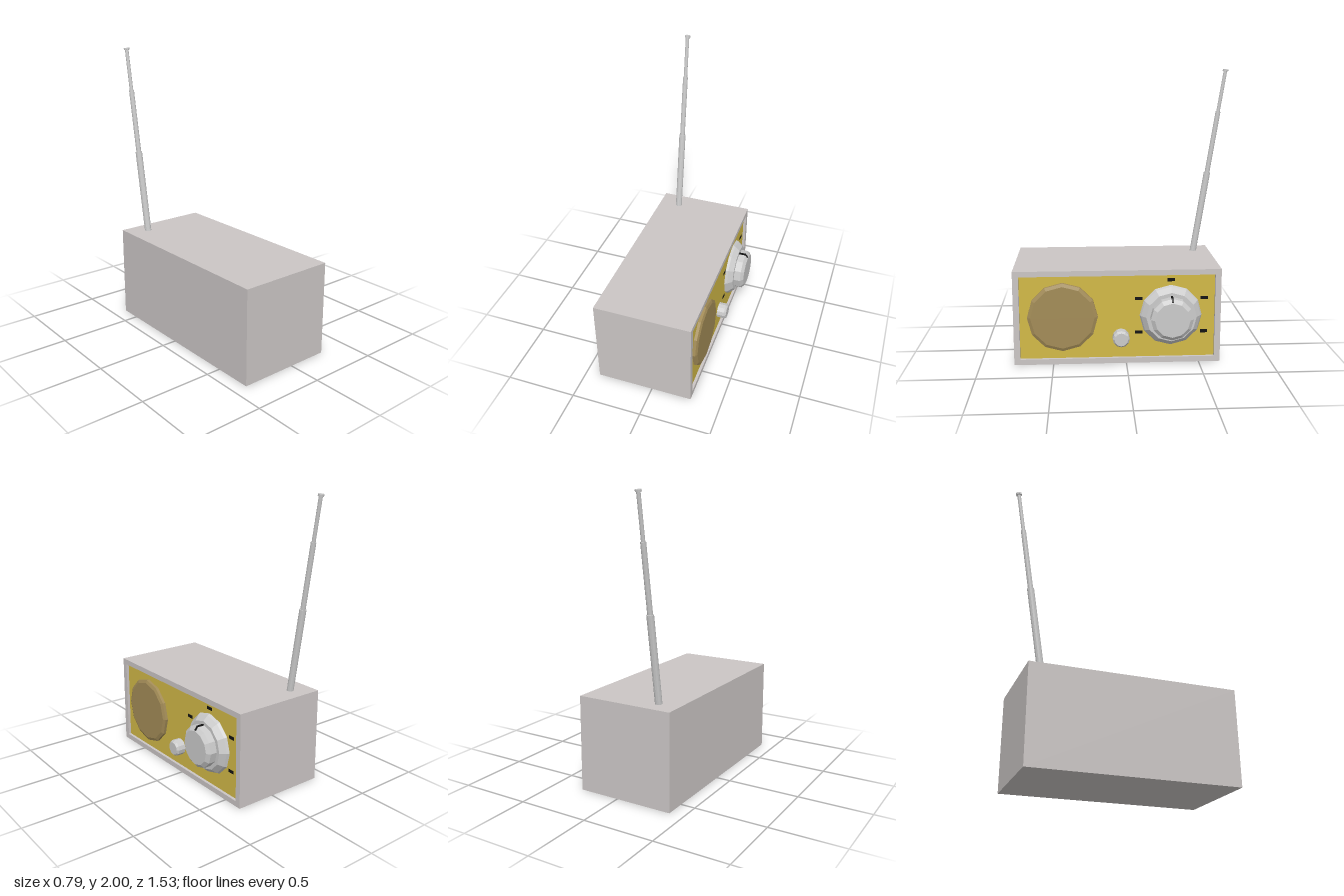
import * as THREE from 'three';

const mat = (color) => new THREE.MeshStandardMaterial({ color, flatShading: true });
const grey = mat(0xcccccc);
const shell = mat(0xcbc6c5);
const gold = mat(0xd2b947);
const tan = mat(0xa38c57);
const black = mat(0x111111);

const FACE = 0.265; // x of the recessed front panel
const MID_Z = 0.06; // centre of the case along z

export function createModel() {
  const radio = new THREE.Group();
  radio.name = 'radio';

  const add = (name, geometry, material, x = 0, y = 0, z = 0, parent = radio) => {
    const mesh = new THREE.Mesh(geometry, material);
    mesh.name = name;
    mesh.position.set(x, y, z);
    parent.add(mesh);
    return mesh;
  };

  // Twelve-sided turned part on the panel, pointing along +x; profile = [radius, height]
  const turned = (name, profile, material, y, z) => {
    const points = profile.map(([r, h]) => new THREE.Vector2(r, h));
    const geometry = new THREE.LatheGeometry(points, 12).rotateZ(-Math.PI / 2);
    return add(name, geometry, material, FACE, y, z);
  };

  // Rectangle outline centred on the origin
  const rectangle = (path, w, h) => {
    path.moveTo(-w / 2, -h / 2);
    path.lineTo(w / 2, -h / 2);
    path.lineTo(w / 2, h / 2);
    path.lineTo(-w / 2, h / 2);
    path.closePath();
    return path;
  };

  // Case: solid body plus a raised rim around the panel
  add('caseBody', new THREE.BoxGeometry(0.665, 0.66, 1.416), shell, FACE - 0.3325, 0.33, MID_Z);
  const rim = rectangle(new THREE.Shape(), 1.416, 0.66);
  rim.holes.push(rectangle(new THREE.Path(), 1.334, 0.584));
  const rimGeometry = new THREE.ExtrudeGeometry(rim, { depth: 0.022, bevelEnabled: false });
  add('caseRim', rimGeometry.rotateY(Math.PI / 2), shell, FACE, 0.33, MID_Z);
  add('frontPanel', new THREE.BoxGeometry(0.004, 0.584, 1.334), gold, FACE, 0.33, MID_Z);

  // Speaker, tuning dial and button
  turned('speaker', [[0.24, 0], [0.24, 0.022], [0.218, 0.032], [0, 0.032]], tan, 0.335, 0.435);
  turned('dialBase', [[0.215, 0], [0.205, 0.02], [0.172, 0.056], [0, 0.056]], grey, 0.335, -0.305);
  turned('dialKnob', [[0.146, 0.05], [0.146, 0.105], [0.12, 0.126], [0, 0.126]], grey, 0.335, -0.305);
  turned('button', [[0.058, 0], [0.058, 0.056], [0.046, 0.07], [0, 0.07]], grey, 0.185, 0.037);

  // Pointer that follows the bevel of the knob
  const pointer = new THREE.Shape(
    [[0.32, 0.45], [0.388, 0.45], [0.388, 0.463], [0.37, 0.486], [0.32, 0.486]]
      .map(([x, y]) => new THREE.Vector2(x, y))
  );
  const pointerGeometry = new THREE.ExtrudeGeometry(pointer, { depth: 0.014, bevelEnabled: false });
  add('dialPointer', pointerGeometry, black, 0, 0, -0.312);

  // Plain scale marks around the dial
  const marks = [[0.585, -0.305], [0.455, -0.085], [0.215, -0.085], [0.455, -0.535], [0.215, -0.535]];
  for (const [y, z] of marks) {
    add('scaleMark', new THREE.BoxGeometry(0.004, 0.022, 0.05), black, FACE + 0.002, y, z);
  }

  // Telescopic antenna leaning back, built upright from its foot
  const antenna = new THREE.Group();
  antenna.name = 'antenna';
  antenna.position.set(-0.25, 0.66, -0.53);
  antenna.rotation.x = -0.159;
  radio.add(antenna);
  const sections = [[0.024, -0.03, 0.595], [0.018, 0.595, 1.045], [0.013, 1.045, 1.335]];
  for (const [r, from, to] of sections) {
    const tube = new THREE.CylinderGeometry(r, r, to - from, 12);
    add('antennaSection', tube, grey, 0, (from + to) / 2, 0, antenna);
  }
  add('antennaTip', new THREE.CylinderGeometry(0.02, 0.02, 0.014, 12), grey, 0, 1.342, 0, antenna);

  return radio;
}
